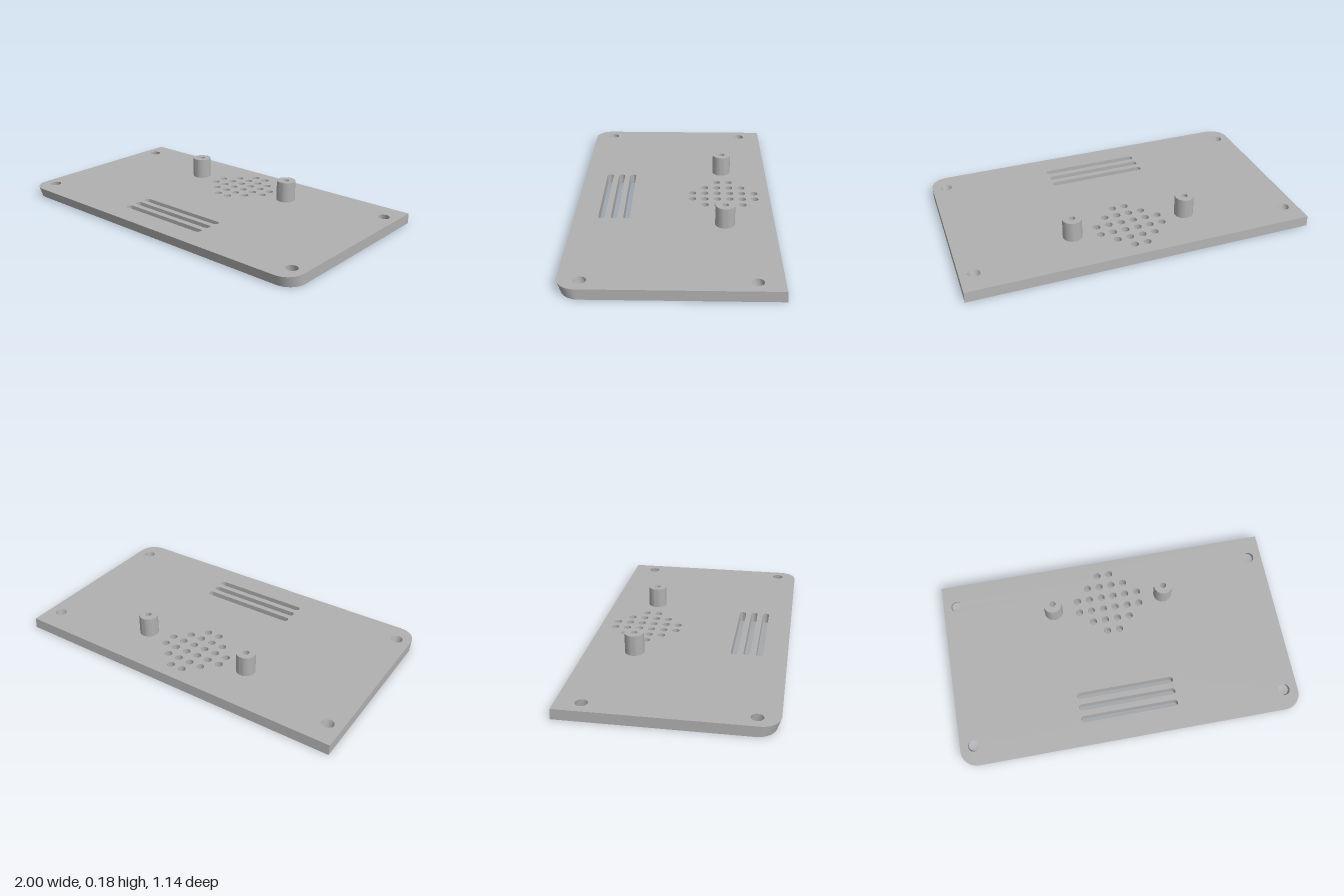
import * as THREE from 'three';
import { mergeGeometries, toCreasedNormals } from 'three/addons/utils/BufferGeometryUtils.js';

const T = 0.06;          // plate thickness
const STEP = 0.025;      // depth of the screw head recesses
const LEAN = 1 / 3;      // the screw holes lean with the front edge

// Loops are lists of [x, z], all running from +x towards +z.
function circle(x, z, r, n = 32) {
  return Array.from({ length: n }, (_, i) => {
    const a = (i / n) * Math.PI * 2;
    return [x + r * Math.cos(a), z + r * Math.sin(a)];
  });
}

function slot(z, halfLength, r, n = 12) {
  const loop = [];
  for (const side of [1, -1]) {
    for (let i = 0; i <= n; i++) {
      const a = -Math.PI / 2 + (i / n) * Math.PI;
      loop.push([side * (halfLength - r + r * Math.cos(a)), z + side * r * Math.sin(a)]);
    }
  }
  return loop;
}

// Square back corners, rounded front corners
function outline(back, front, r = 0.1, n = 14) {
  const loop = [[1, back]];
  for (const side of [1, -1]) {
    for (let i = 0; i <= n; i++) {
      const a = ((side > 0 ? i : n - i) / n) * Math.PI / 2;
      loop.push([side * (1 - r + r * Math.cos(a)), front - r + r * Math.sin(a)]);
    }
  }
  loop.push([-1, back]);
  return loop;
}

// Flat face with holes, facing up or down
function cap(outer, holes, y, up) {
  const points = loop => loop.map(([x, z]) => new THREE.Vector2(x, up ? -z : z));
  const shape = new THREE.Shape(points(outer));
  shape.holes = holes.map(h => new THREE.Path(points(h)));
  const g = new THREE.ShapeGeometry(shape).rotateX(up ? -Math.PI / 2 : Math.PI / 2).translate(0, y, 0);
  g.deleteAttribute('uv');
  return g.toNonIndexed();
}

// Wall between two matching loops; inward walls line a hole
function wall(low, high, y0, y1, inward = false) {
  const pos = [];
  low.forEach((_, i) => {
    const j = (i + 1) % low.length;
    const [p, q] = inward ? [j, i] : [i, j];
    const a = [low[p][0], y0, low[p][1]], b = [low[q][0], y0, low[q][1]];
    const c = [high[p][0], y1, high[p][1]], d = [high[q][0], y1, high[q][1]];
    pos.push(...a, ...c, ...b, ...b, ...c, ...d);
  });
  const g = new THREE.BufferGeometry();
  g.setAttribute('position', new THREE.Float32BufferAttribute(pos, 3));
  g.computeVertexNormals();
  return toCreasedNormals(g, 0.6);
}

export function createModel() {
  const model = new THREE.Group();
  model.name = 'coverPlate';
  const grey = new THREE.MeshStandardMaterial({ color: 0xb0b0b0 });
  grey.name = 'grey plastic';
  const add = (name, geometry) => {
    const mesh = new THREE.Mesh(geometry, grey);
    mesh.name = name;
    model.add(mesh);
    return mesh;
  };

  // Speaker grille: rows of 2, 4, 6, 6, 4, 2 holes
  const pitch = 0.074;
  const grille = [];
  [2, 4, 6, 6, 4, 2].forEach((count, row) => {
    for (let i = 0; i < count; i++) {
      grille.push(circle((i - (count - 1) / 2) * pitch, -0.29 + (row - 2.5) * pitch, 0.022, 20));
    }
  });

  // Vent slots
  const vents = [0.27, 0.341, 0.413].map(z => slot(z, 0.288, 0.019));

  // Leaning screw holes with wider recesses underneath
  const screws = [-1, 1].flatMap(s => [[s * 0.92, -0.428], [s * 0.92, 0.452]]);
  const screwRing = (r, y) => screws.map(([x, z]) => circle(x, z - (T - y) * LEAN, r));
  const screwTop = screwRing(0.033, T);
  const screwStep = screwRing(0.033, STEP);
  const recessTop = screwRing(0.056, STEP);
  const recessLow = screwRing(0.056, 0);

  // Plate faces and slanted rim
  const topEdge = outline(-0.566, 0.57);
  const lowEdge = outline(-0.57, 0.55);
  const through = [...grille, ...vents];
  add('plateTop', cap(topEdge, [...through, ...screwTop], T, true));
  add('plateBottom', cap(lowEdge, [...through, ...recessLow], 0, false));
  add('plateRim', wall(lowEdge, topEdge, 0, T));

  // Hole linings
  add('grilleHoles', mergeGeometries(grille.map(h => wall(h, h, 0, T, true))));
  add('ventSlots', mergeGeometries(vents.map(h => wall(h, h, 0, T, true))));
  add('screwHoles', mergeGeometries(screws.flatMap((_, i) => [
    wall(screwStep[i], screwTop[i], STEP, T, true),
    wall(recessLow[i], recessTop[i], 0, STEP, true),
    cap(recessTop[i], [screwStep[i]], STEP, false),
  ])));

  // Mounting posts with blind pilot holes
  const profile = [[0.055, T], [0.055, 0.18], [0.018, 0.18], [0.018, 0.065], [0, 0.065]]
    .map(([r, y]) => new THREE.Vector2(r, y));
  const post = toCreasedNormals(new THREE.LatheGeometry(profile, 40), 0.6);
  for (const [name, x] of [['leftPost', 0.338], ['rightPost', -0.338]]) {
    add(name, post).position.set(x, 0, -0.287);
  }
  return model;
}
